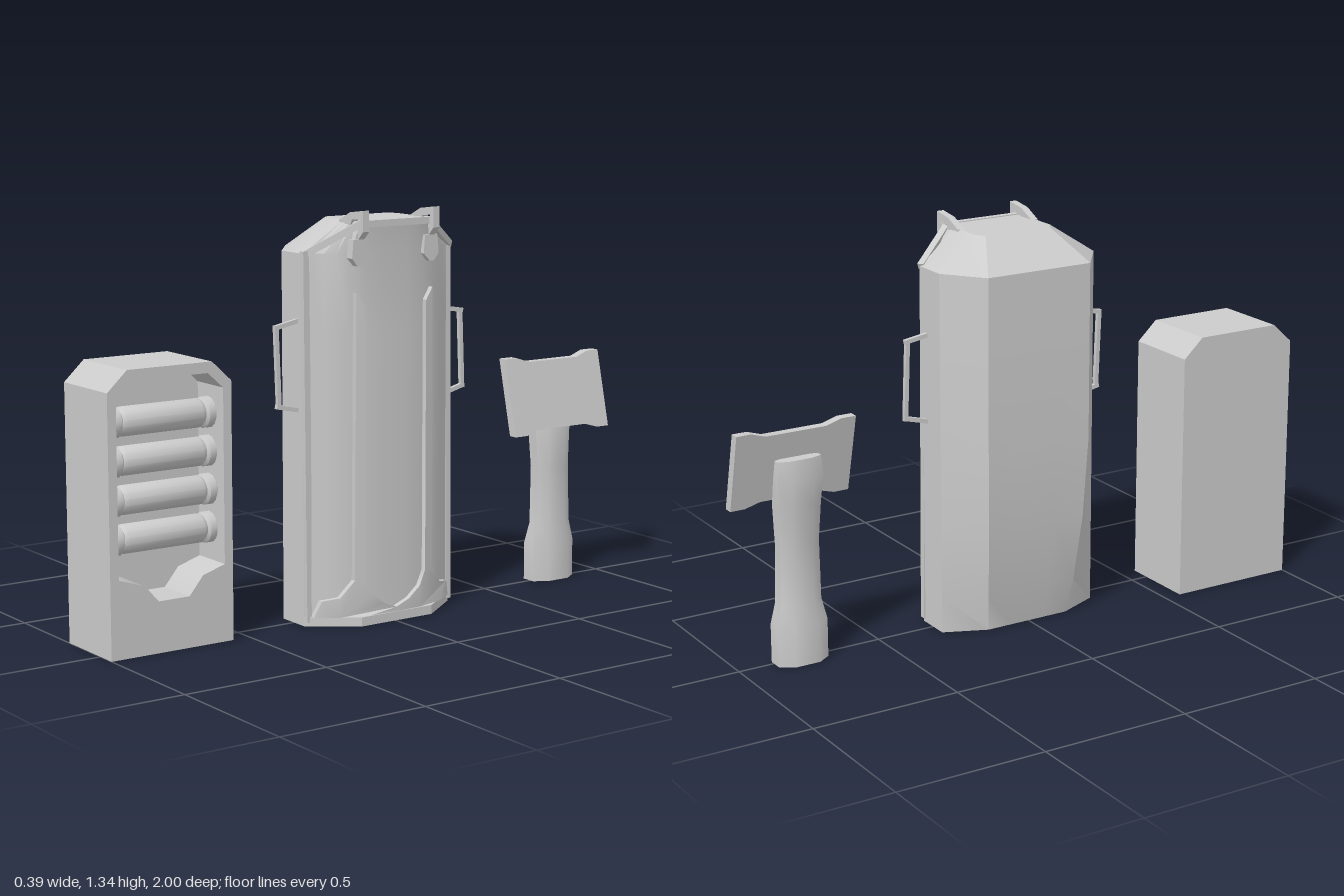
import * as THREE from 'three';
import { toCreasedNormals } from 'three/addons/utils/BufferGeometryUtils.js';

const material = new THREE.MeshStandardMaterial({ color: 0xcccccc, side: THREE.DoubleSide });

function add(parent, name, geometry, crease = 0.6) {
  const mesh = new THREE.Mesh(toCreasedNormals(geometry, crease), material);
  mesh.name = name;
  parent.add(mesh);
  return mesh;
}

// Extrude a [z, y] outline along +x, starting at x0
function sideExtrude(outline, x0, depth, hole) {
  const toPath = (pts) => pts.map(([z, y]) => new THREE.Vector2(-z, y));
  const shape = new THREE.Shape(toPath(outline));
  if (hole) shape.holes.push(new THREE.Path(toPath(hole)));
  const g = new THREE.ExtrudeGeometry(shape, { depth, bevelEnabled: false });
  return g.rotateY(Math.PI / 2).translate(x0, 0, 0);
}

// Move every vertex along x by a rule of its y and z
function shiftX(g, rule) {
  const p = g.attributes.position;
  for (let i = 0; i < p.count; i++) p.setX(i, p.getX(i) + rule(p.getY(i), p.getZ(i)));
  return g;
}

// Join stacked rings { y, ring: [[x, z], ...] } and close both ends
function loft(levels) {
  const pos = [], idx = [], n = levels[0].ring.length;
  levels.forEach(({ y, ring }) => ring.forEach(([x, z]) => pos.push(x, y, z)));
  for (let l = 0; l < levels.length - 1; l++) {
    for (let i = 0; i < n; i++) {
      const a = l * n + i, b = l * n + (i + 1) % n;
      idx.push(a, b, a + n, b, b + n, a + n);
    }
  }
  [0, levels.length - 1].forEach((l, top) => {
    const { y, ring } = levels[l], c = pos.length / 3;
    const cx = (Math.min(...ring.map((p) => p[0])) + Math.max(...ring.map((p) => p[0]))) / 2;
    pos.push(cx, y, 0);
    for (let i = 0; i < n; i++) {
      const a = l * n + i, b = l * n + (i + 1) % n;
      idx.push(c, ...(top ? [a, b] : [b, a]));
    }
  });
  const g = new THREE.BufferGeometry();
  g.setAttribute('position', new THREE.Float32BufferAttribute(pos, 3));
  g.setIndex(idx);
  return g;
}

// Mirror half a ring (z > 0, back to front) to the other side
const mirrorRing = (half) => [...half, ...half.slice().reverse().map(([x, z]) => [x, -z])];

// Straight bar between two points
function bar(parent, name, a, b, width) {
  const from = new THREE.Vector3(...a), to = new THREE.Vector3(...b);
  const g = new THREE.BoxGeometry(width, width, from.distanceTo(to) + width * 0.7);
  const mesh = add(parent, name, g);
  mesh.position.copy(from).add(to).multiplyScalar(0.5);
  mesh.lookAt(to);
}

// Bulge of the front panel across its width
const panelX = (z) => 0.06 + 0.09 * (1 - Math.min(1, Math.abs(z) / 0.28) ** 3);

function createCase() {
  const group = new THREE.Group();
  group.name = 'case';
  group.position.z = -0.005;

  // Main shell with chamfered back and bulging front
  const section = (y, backX, backZ, sideX = -0.06) => ({
    y,
    ring: mirrorRing([
      [backX, backZ * 0.4], [backX, backZ], [sideX, 0.29], [0.06, 0.29],
      ...[0.27, 0.235, 0.2, 0.16, 0.11, 0.05].map((z) => [panelX(z), z]),
    ]),
  });
  const lid = {
    y: 1.305,
    ring: mirrorRing([
      [-0.06, 0.055], [-0.06, 0.12], [-0.03, 0.14], [0.07, 0.14], [0.09, 0.14],
      [0.11, 0.14], [0.13, 0.14], [0.155, 0.13], [0.16, 0.1], [0.16, 0.05],
    ]),
  };
  add(group, 'shell', loft([
    section(0, -0.12, 0.15), section(0.12, -0.145, 0.165), section(0.35, -0.175, 0.18),
    section(0.62, -0.19, 0.19), section(0.95, -0.19, 0.19), section(1.205, -0.19, 0.19), lid,
  ]), 0.5);

  // Base plate
  const base = mirrorRing([[-0.1, 0.17], [-0.04, 0.29], [0.06, 0.29], [0.17, 0.14]]);
  add(group, 'basePlate', loft([{ y: 0, ring: base }, { y: 0.03, ring: base }]));

  // Raised rim round the front
  const rim = [[0.06, 0.02, 0.279], [0.06, 1.205, 0.279], [0.158, 1.297, 0.135]];
  for (const s of [1, -1]) {
    const p = rim.map(([x, y, z]) => [x, y, z * s]);
    bar(group, 'rimSide', p[0], p[1], 0.022);
    bar(group, 'rimCorner', p[1], p[2], 0.022);
  }
  bar(group, 'rimTop', rim[2], [0.158, 1.297, -0.135], 0.022);

  for (const s of [1, -1]) {
    // Panel rib that spreads into a foot
    const foot = [
      [0.27, 0.03], [0.25, 0.085], [0.2, 0.095], [0.155, 0.15], [0.15, 1.08], [0.12, 1.04],
      [0.12, 0.15], [0.095, 0.1], [0.05, 0.065], [0, 0.045], [0, 0.03], [0.1, 0.03], [0.2, 0.03],
    ].map(([z, y]) => [z * s, y]);
    add(group, 'ribAndFoot', shiftX(sideExtrude(foot, -0.02, 0.038), (y, z) => panelX(z)));

    // Carrying handle
    const grip = [[0.025, 0.70, 0.28], [0.025, 0.72, 0.365], [0.025, 0.975, 0.365], [0.025, 0.99, 0.28]]
      .map(([x, y, z]) => [x, y, z * s]);
    for (let i = 0; i < 3; i++) bar(group, 'carryHandle', grip[i], grip[i + 1], 0.014);

    // Hook over the top edge
    const hook = new THREE.Shape([
      [0.06, 1.29], [0.06, 1.305], [0.12, 1.333], [0.19, 1.342], [0.19, 1.275],
      [0.165, 1.25], [0.16, 1.285], [0.172, 1.315], [0.13, 1.31], [0.12, 1.29],
    ].map((p) => new THREE.Vector2(...p)));
    const hookGeometry = new THREE.ExtrudeGeometry(hook, { depth: 0.024, bevelEnabled: false });
    add(group, 'hook', hookGeometry.translate(0, 0, 0.138 * s - 0.012));

    // Catch below the hook
    const catchOutline = [[0.115, 1.25], [0.11, 1.19], [0.135, 1.165], [0.15, 1.165], [0.17, 1.19], [0.165, 1.25]];
    add(group, 'catch', sideExtrude(catchOutline.map(([z, y]) => [z * s, y]), 0.13, 0.03));
  }
  return group;
}

function createRack() {
  const group = new THREE.Group();
  group.name = 'rack';

  // Housing: open front part and solid back part
  const outline = [[1, 0], [1, 0.83], [0.93, 0.895], [0.63, 0.895], [0.56, 0.83], [0.56, 0]];
  const opening = [
    [0.97, 0.25], [0.97, 0.81], [0.915, 0.86], [0.645, 0.86], [0.59, 0.81], [0.59, 0.25],
    [0.67, 0.225], [0.72, 0.165], [0.83, 0.165], [0.88, 0.22],
  ];
  add(group, 'housingFront', sideExtrude(outline, -0.08, 0.15, opening));
  add(group, 'housingBack', sideExtrude(outline, -0.197, 0.117));

  // Row of rollers with stepped ends
  const profile = [
    [0, -0.188], [0.034, -0.188], [0.05, -0.178], [0.05, -0.155], [0.04, -0.148], [0.047, -0.135],
    [0.047, 0.135], [0.04, 0.148], [0.05, 0.155], [0.05, 0.178], [0.034, 0.188], [0, 0.188],
  ].map((p) => new THREE.Vector2(...p));
  for (let i = 0; i < 4; i++) {
    const g = new THREE.LatheGeometry(profile, 14).rotateX(Math.PI / 2);
    add(group, 'roller', g.translate(0, 0.36 + i * 0.122, 0.78));
  }
  return group;
}

function createHatchet() {
  const group = new THREE.Group();
  group.name = 'hatchet';

  // Grip, wider at the foot, running up behind the head
  const ring = (y, halfZ, x0, x1) => {
    const c = (x1 - x0) * 0.27;
    return { y, ring: mirrorRing([[x0, halfZ * 0.5], [x0 + c, halfZ], [x1 - c, halfZ], [x1, halfZ * 0.5]]) };
  };
  const grip = add(group, 'grip', loft([
    ring(0, 0.088, -0.065, 0.045), ring(0.13, 0.088, -0.065, 0.045), ring(0.2, 0.072, -0.05, 0.035),
    ring(0.4, 0.068, -0.05, 0.03), ring(0.53, 0.075, -0.06, 0.03), ring(0.62, 0.08, -0.065, 0.0),
    ring(0.68, 0.075, -0.055, -0.01),
  ]), 0.9);
  grip.position.z = -0.79;

  // Leaning head with flared ends
  const outline = [
    [-0.588, 0.525], [-0.588, 0.785], [-0.64, 0.785], [-0.69, 0.768], [-0.9, 0.768], [-0.95, 0.785],
    [-1, 0.785], [-1, 0.525], [-0.95, 0.525], [-0.9, 0.54], [-0.69, 0.54], [-0.64, 0.525],
  ];
  add(group, 'head', shiftX(sideExtrude(outline, -0.015, 0.032), (y) => 0.037 - 0.24 * (y - 0.525)));
  return group;
}

export function createModel() {
  const model = new THREE.Group();
  model.name = 'equipmentSet';
  model.add(createCase(), createRack(), createHatchet());
  return model;
}
